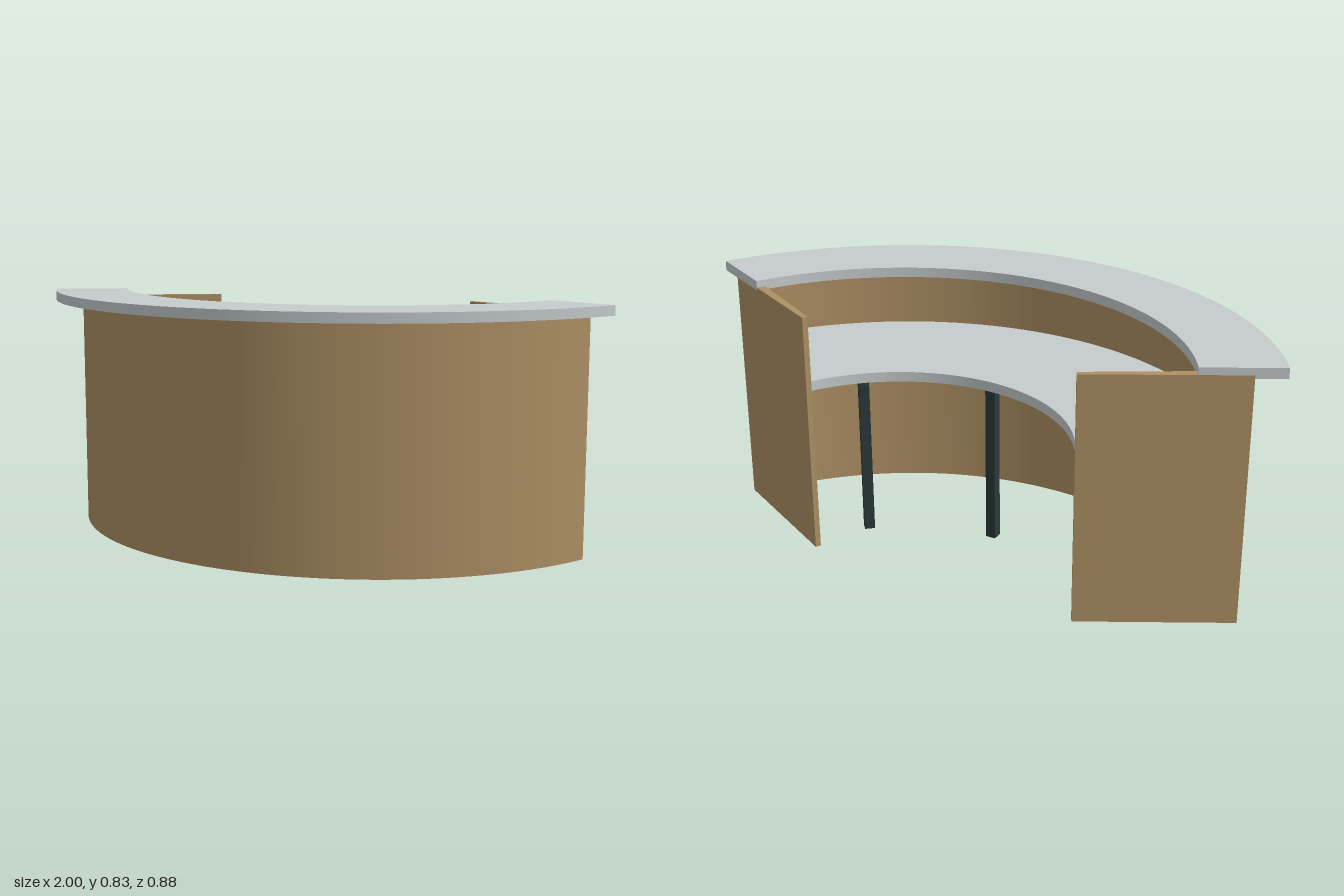
import * as THREE from 'three';
import { toCreasedNormals } from 'three/addons/utils/BufferGeometryUtils.js';

const CENTER_Z = -0.693; // common centre of every arc
const rad = THREE.MathUtils.degToRad;

// Solid ring sector between two radii, two angles (degrees from +z towards +x) and two heights
function sector(name, material, rIn, rOut, a0, a1, y0, y1) {
  const s = rad(90 - a1), e = rad(90 - a0);
  const shape = new THREE.Shape();
  shape.absarc(0, 0, rOut, s, e, false);
  shape.absarc(0, 0, rIn, e, s, true);
  shape.closePath();
  const raw = new THREE.ExtrudeGeometry(shape, {
    depth: y1 - y0,
    bevelEnabled: false,
    curveSegments: a1 - a0 > 10 ? 64 : 2,
  });
  raw.rotateX(Math.PI / 2);
  raw.translate(0, y1, CENTER_Z);
  const mesh = new THREE.Mesh(toCreasedNormals(raw, rad(30)), material);
  mesh.name = name;
  return mesh;
}

export function createModel() {
  const wood = new THREE.MeshStandardMaterial({ color: 0xae9064 });
  wood.name = 'wood';
  const top = new THREE.MeshStandardMaterial({ color: 0xc6cbcb });
  top.name = 'paleGrey';
  const metal = new THREE.MeshStandardMaterial({ color: 0x2b3838 });
  metal.name = 'darkMetal';

  const END = 61.94, WALL_END = 60;
  const model = new THREE.Group();
  model.name = 'curvedReceptionDesk';

  // Curved front wall and the panels closing its two ends
  model.add(sector('frontWall', wood, 1.008, 1.038, -WALL_END, WALL_END, 0, 0.8));
  model.add(sector('leftEndPanel', wood, 0.538, 1.038, WALL_END, END, 0, 0.81));
  model.add(sector('rightEndPanel', wood, 0.538, 1.038, -END, -WALL_END, 0, 0.81));

  // High counter and lower work surface
  model.add(sector('counterTop', top, 0.878, 1.133, -END, END, 0.8, 0.833));
  model.add(sector('workSurface', top, 0.538, 1.008, -WALL_END, WALL_END, 0.56, 0.593));

  // Three square legs under the inner edge of the work surface
  const legGeometry = new THREE.BoxGeometry(0.034, 0.56, 0.034);
  ['rightLeg', 'middleLeg', 'leftLeg'].forEach((name, i) => {
    const a = rad((i - 1) * 41);
    const leg = new THREE.Mesh(legGeometry, metal);
    leg.name = name;
    leg.position.set(0.61 * Math.sin(a), 0.28, CENTER_Z + 0.61 * Math.cos(a));
    leg.rotation.y = a;
    model.add(leg);
  });
  return model;
}
